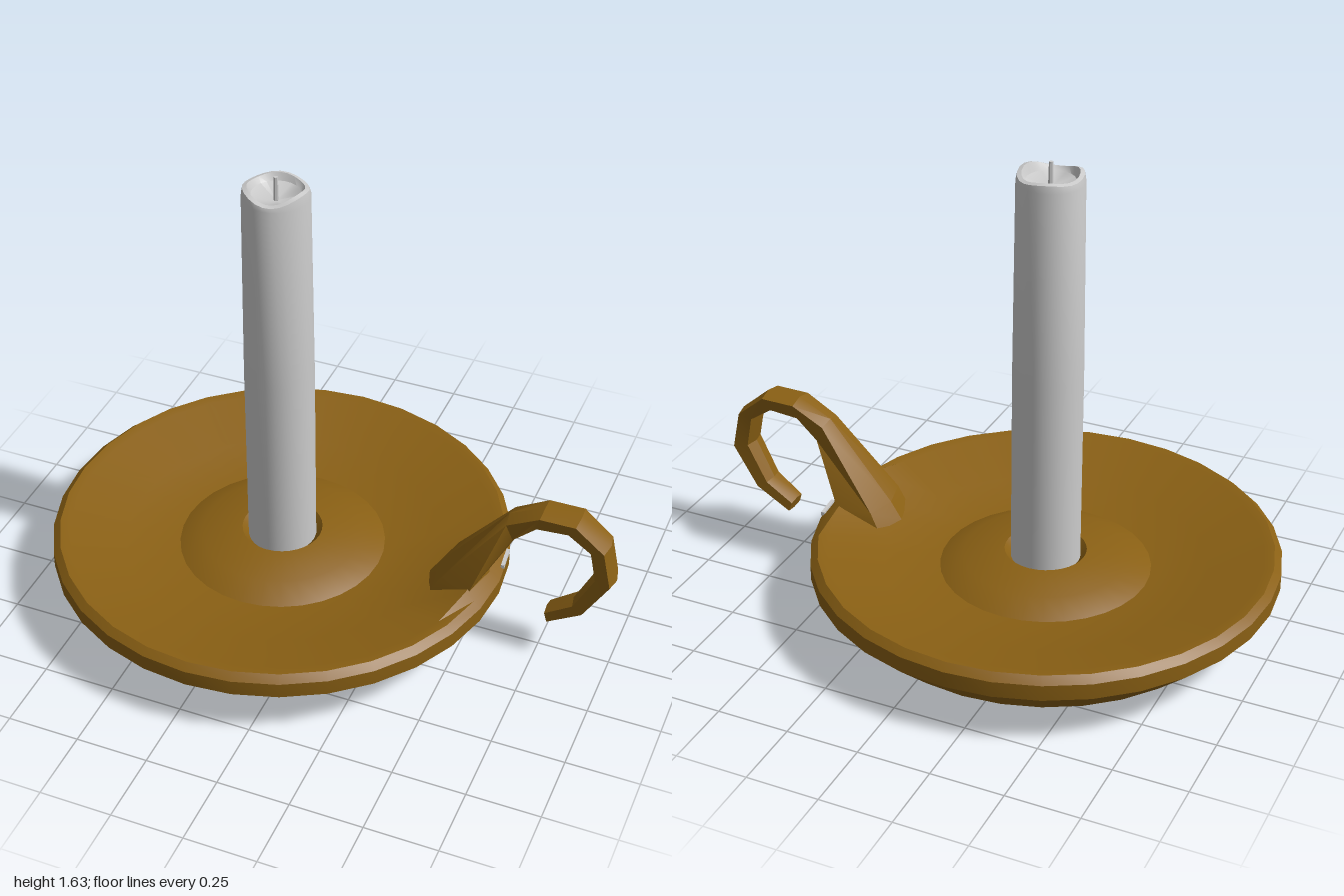
import * as THREE from 'three';
import { toCreasedNormals } from 'three/addons/utils/BufferGeometryUtils.js';

const brass = new THREE.MeshStandardMaterial({ color: 0x8a6014 });
const wax = new THREE.MeshStandardMaterial({ color: 0xcccccc });

function lathe(profile, segments) {
  return new THREE.LatheGeometry(profile.map(([r, y]) => new THREE.Vector2(r, y)), segments);
}

// Moves each vertex by a rule that receives and changes a Vector3
function deform(geometry, rule) {
  const pos = geometry.attributes.position;
  const v = new THREE.Vector3();
  for (let i = 0; i < pos.count; i++) {
    rule(v.fromBufferAttribute(pos, i));
    pos.setXYZ(i, v.x, v.y, v.z);
  }
  return geometry;
}

function part(name, geometry, material, crease = 0.5) {
  const mesh = new THREE.Mesh(toCreasedNormals(geometry, crease), material);
  mesh.name = name;
  return mesh;
}

// Closed strip through hexagonal sections: [outer x, y, inner x, y, outer half width, inner half width]
function handleGeometry(sections) {
  const positions = [], index = [], n = 6;
  for (const [ox, oy, ix, iy, wo, wi] of sections) {
    const at = (t, z) => positions.push(ox + (ix - ox) * t, oy + (iy - oy) * t, z);
    at(0, 0);
    at(0.15, wo);
    at(0.85, wi);
    at(1, 0);
    at(0.85, -wi);
    at(0.15, -wo);
  }
  for (let i = 0; i < sections.length - 1; i++) {
    for (let j = 0; j < n; j++) {
      const a = i * n + j, b = i * n + (j + 1) % n;
      index.push(a, b, a + n, b, b + n, a + n);
    }
  }
  const last = (sections.length - 1) * n;
  for (let j = 1; j < n - 1; j++) {
    index.push(0, j + 1, j);
    index.push(last, last + j, last + j + 1);
  }
  const geometry = new THREE.BufferGeometry();
  geometry.setAttribute('position', new THREE.Float32BufferAttribute(positions, 3));
  geometry.setIndex(index);
  return geometry;
}

export function createModel() {
  const model = new THREE.Group();
  model.name = 'candleHolder';

  const body = new THREE.Group();
  body.name = 'dishAndCandle';
  body.position.x = -0.2;
  model.add(body);

  // Dish: shallow cone below, rolled rim, sunken floor, raised centre
  const dish = lathe([
    [0, 0.003], [0.665, 0.055], [0.8, 0.18], [0.8, 0.235], [0.775, 0.257], [0.74, 0.253],
    [0.55, 0.19], [0.36, 0.17], [0.28, 0.21], [0.14, 0.228], [0.115, 0.2], [0, 0.2],
  ], 32);
  // The inner lip swells slightly where the handle joins
  deform(dish, (v) => {
    const r = Math.hypot(v.x, v.z);
    if (r > 0.73 && r < 0.75 && v.x > 0 && Math.abs(v.z) < 0.16) v.y += 0.025;
  });
  body.add(part('dish', dish, brass));

  // Candle with a hollowed, unevenly melted top
  const candle = lathe([
    [0, 0.2], [0.119, 0.2], [0.118, 0.9], [0.111, 1.57], [0.106, 1.593],
    [0.092, 1.597], [0.08, 1.575], [0, 1.55],
  ], 24);
  deform(candle, (v) => {
    const r = Math.hypot(v.x, v.z);
    if (v.y > 1.58 && r > 0.05) {
      const a = Math.atan2(v.z, v.x);
      v.y += 0.007 * Math.sin(3 * a + 0.6) + 0.005 * Math.cos(2 * a);
    }
  });
  body.add(part('candle', candle, wax, 0.7));

  // Wick
  const wick = new THREE.CylinderGeometry(0.007, 0.009, 0.095, 6);
  wick.translate(0, 1.5875, 0);
  body.add(part('wick', wick, wax));

  // Hooked handle, flared where it meets the dish
  const handle = handleGeometry([
    [0.35, 0.2, 0.575, 0.21, 0.11, 0.14],
    [0.39, 0.262, 0.56, 0.275, 0.105, 0.13],
    [0.62, 0.54, 0.655, 0.46, 0.052, 0.05],
    [0.74, 0.6, 0.725, 0.53, 0.055, 0.047],
    [0.865, 0.6, 0.83, 0.54, 0.055, 0.047],
    [0.97, 0.51, 0.905, 0.49, 0.053, 0.046],
    [1.0, 0.37, 0.925, 0.385, 0.052, 0.045],
    [0.91, 0.22, 0.86, 0.25, 0.048, 0.042],
    [0.785, 0.14, 0.77, 0.185, 0.04, 0.036],
  ]);
  model.add(part('handle', handle, brass, 0.4));

  // Small pale patch on the rim beside the handle
  const patch = new THREE.BoxGeometry(0.012, 0.014, 0.09);
  patch.rotateY(0.1);
  patch.translate(0.585, 0.246, -0.105);
  model.add(part('rimPatch', patch, wax));

  return model;
}
